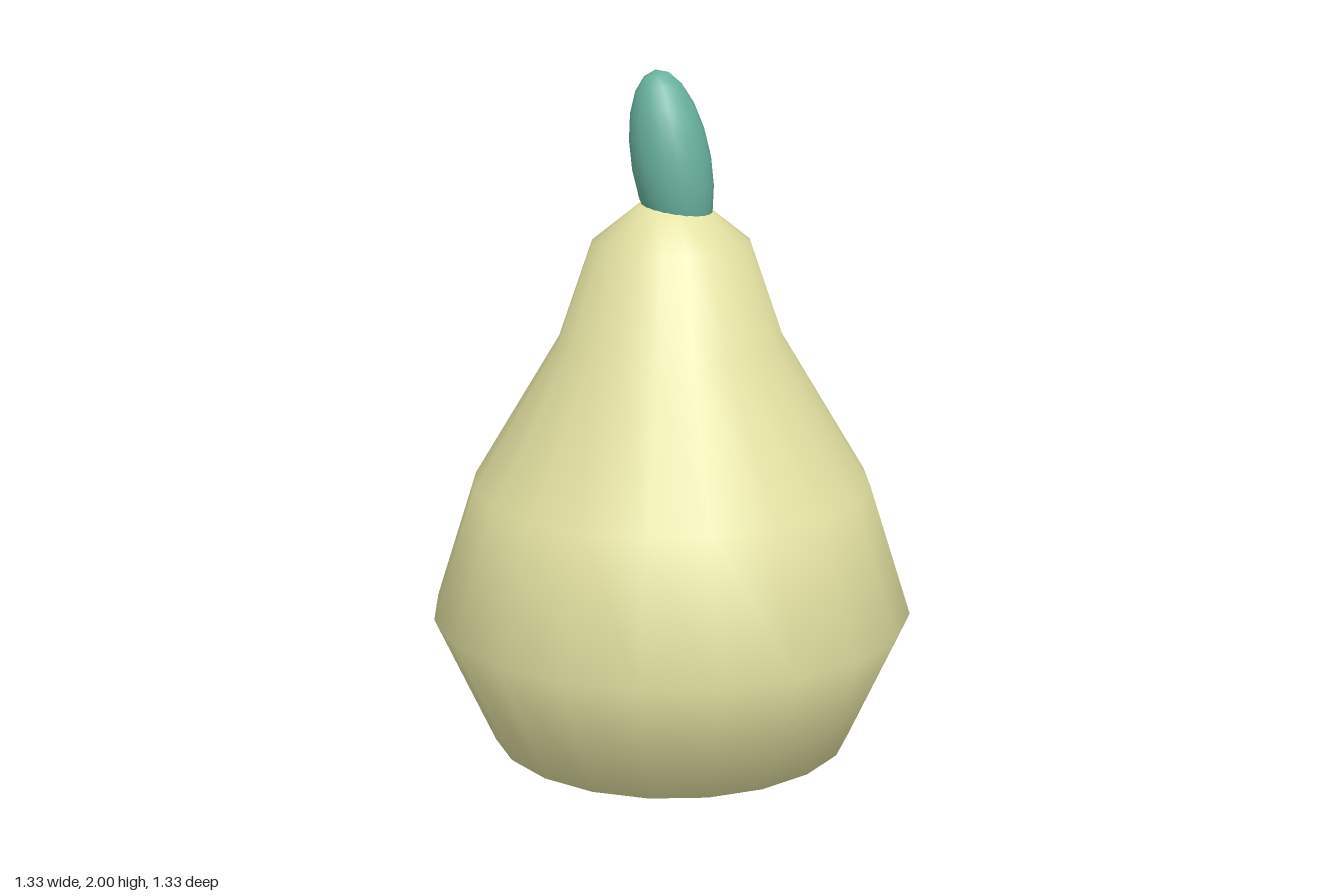
import * as THREE from 'three';

// Pear outline, bottom to top: [radius, height]
const OUTLINE = [
  [0, 0], [0.115, 0.002], [0.503, 0.135], [0.667, 0.503], [0.55, 0.87],
  [0.31, 1.27], [0.216, 1.54], [0.085, 1.645], [0, 1.655],
];

export function createModel() {
  const skin = new THREE.MeshStandardMaterial({ color: 0xe4e2a2, side: THREE.DoubleSide });
  skin.name = 'pale yellow skin';
  const green = new THREE.MeshStandardMaterial({ color: 0x68b09c });
  green.name = 'teal stem';

  const model = new THREE.Group();
  model.name = 'pear';

  // Smooth turned body with a coarse outline
  const profile = OUTLINE.map(([r, y]) => new THREE.Vector2(r, y));
  const body = new THREE.Mesh(new THREE.LatheGeometry(profile, 20), skin);
  body.name = 'body';
  model.add(body);

  // Egg-shaped stem, leaning to the side
  const stem = new THREE.Mesh(new THREE.SphereGeometry(1, 20, 10), green);
  stem.name = 'stem';
  stem.scale.set(0.108, 0.25, 0.108);
  stem.rotation.z = 0.188;
  stem.position.set(0, 1.754, 0);
  model.add(stem);

  return model;
}
